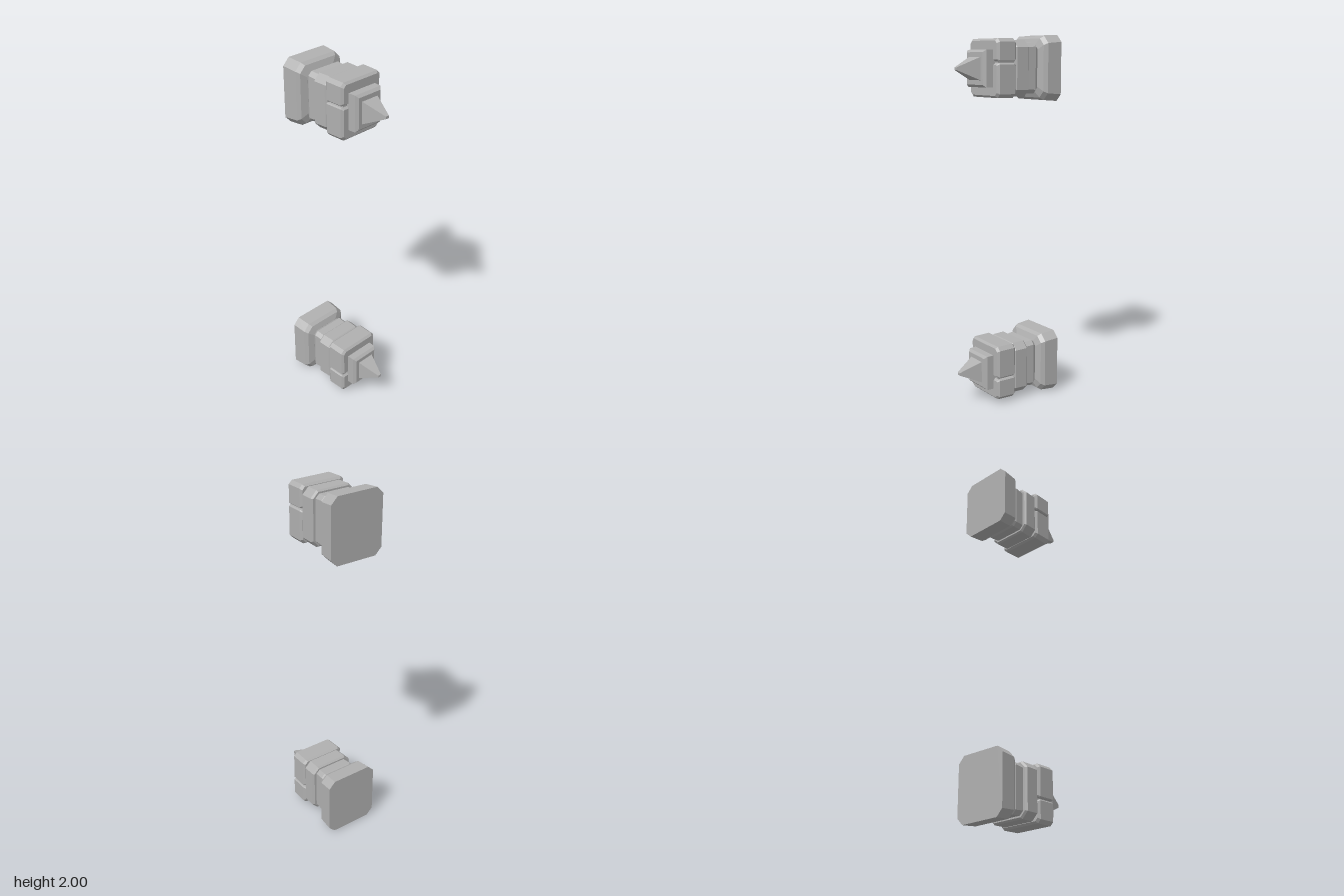
import * as THREE from 'three';

const grey = new THREE.MeshStandardMaterial({ color: 0xb0b0b0, flatShading: true });
grey.name = 'stone grey';

// Counter-clockwise outline (seen from +z); c1 cuts the upper corners, c2 the lower ones.
function outline([z, w, bottom, top, c1 = 0, c2 = c1]) {
  const corners = [[1, top, -1, c1], [-1, top, -1, c1], [-1, bottom, 1, c2], [1, bottom, 1, c2]];
  const points = [];
  corners.forEach(([sx, y, inward, c], i) => {
    const side = new THREE.Vector3(sx * w, y + inward * c, z);
    const flat = new THREE.Vector3(sx * (w - c), y, z);
    if (c1 === 0 && c2 === 0) points.push(side);
    else points.push(...(i % 2 ? [flat, side] : [side, flat]));
  });
  return points;
}

// Solid skinned over sections listed from back to front, capped at both ends.
function loft(name, sections) {
  const rings = sections.map(outline);
  const n = rings[0].length;
  const pos = [];
  const tri = (a, b, c) => [a, b, c].forEach(p => pos.push(p.x, p.y, p.z));
  for (let r = 0; r < rings.length - 1; r++) {
    for (let i = 0; i < n; i++) {
      const j = (i + 1) % n;
      tri(rings[r][i], rings[r][j], rings[r + 1][j]);
      tri(rings[r][i], rings[r + 1][j], rings[r + 1][i]);
    }
  }
  const back = rings[0], front = rings[rings.length - 1];
  for (let i = 1; i < n - 1; i++) {
    tri(back[0], back[i + 1], back[i]);
    tri(front[0], front[i], front[i + 1]);
  }
  const geometry = new THREE.BufferGeometry();
  geometry.setAttribute('position', new THREE.Float32BufferAttribute(pos, 3));
  geometry.computeVertexNormals();
  const mesh = new THREE.Mesh(geometry, grey);
  mesh.name = name;
  return mesh;
}

function createBracket(name) {
  const bracket = new THREE.Group();
  bracket.name = name;
  bracket.add(
    // Flared wall plate with a bevelled front
    loft('wallPlate', [
      [-0.284, 0.155, -0.175, 0.175, 0.037],
      [-0.2, 0.15, -0.168, 0.168, 0.037],
      [-0.18, 0.136, -0.155, 0.155, 0.034],
      [-0.166, 0.1, -0.122, 0.122, 0.025],
    ]),
    loft('neck', [
      [-0.17, 0.097, -0.119, 0.119, 0.02],
      [-0.147, 0.111, -0.134, 0.134, 0.021],
      [-0.09, 0.107, -0.129, 0.129, 0.021],
    ]),
    loft('rearCollar', [
      [-0.093, 0.121, -0.138, 0.138, 0.03],
      [-0.084, 0.131, -0.146, 0.146, 0.035],
      [-0.013, 0.128, -0.145, 0.145, 0.035],
      [-0.002, 0.119, -0.137, 0.137, 0.03],
    ]),
    // Front collar split into two blocks around a core
    loft('collarCore', [
      [-0.004, 0.115, -0.13, 0.13, 0.02],
      [0.1, 0.115, -0.13, 0.13, 0.02],
    ]),
    loft('upperCollarBlock', [
      [-0.006, 0.124, 0.044, 0.145, 0.016, 0.004],
      [0.006, 0.134, 0.036, 0.155, 0.018, 0.006],
      [0.1, 0.132, 0.036, 0.153, 0.018, 0.006],
      [0.112, 0.12, 0.046, 0.142, 0.014, 0.004],
    ]),
    loft('lowerCollarBlock', [
      [-0.006, 0.124, -0.142, 0.02, 0.004, 0.016],
      [0.006, 0.134, -0.151, 0.028, 0.006, 0.02],
      [0.1, 0.132, -0.15, 0.028, 0.006, 0.02],
      [0.112, 0.12, -0.139, 0.018, 0.004, 0.016],
    ]),
    // Square boss and blunt spike
    loft('spikeBase', [
      [0.09, 0.089, -0.097, 0.097],
      [0.153, 0.087, -0.096, 0.096],
      [0.167, 0.074, -0.083, 0.083],
    ]),
    loft('spike', [
      [0.165, 0.053, -0.06, 0.06],
      [0.284, 0.01, -0.007, 0.007],
    ]),
  );
  return bracket;
}

export function createModel() {
  const model = new THREE.Group();
  model.name = 'spikedBracketPair';
  const upper = createBracket('upperBracket');
  upper.position.y = 1.825;
  // The lower bracket is the same piece turned upside down
  const lower = createBracket('lowerBracket');
  lower.rotation.z = Math.PI;
  lower.position.y = 0.177;
  model.add(upper, lower);
  return model;
}
